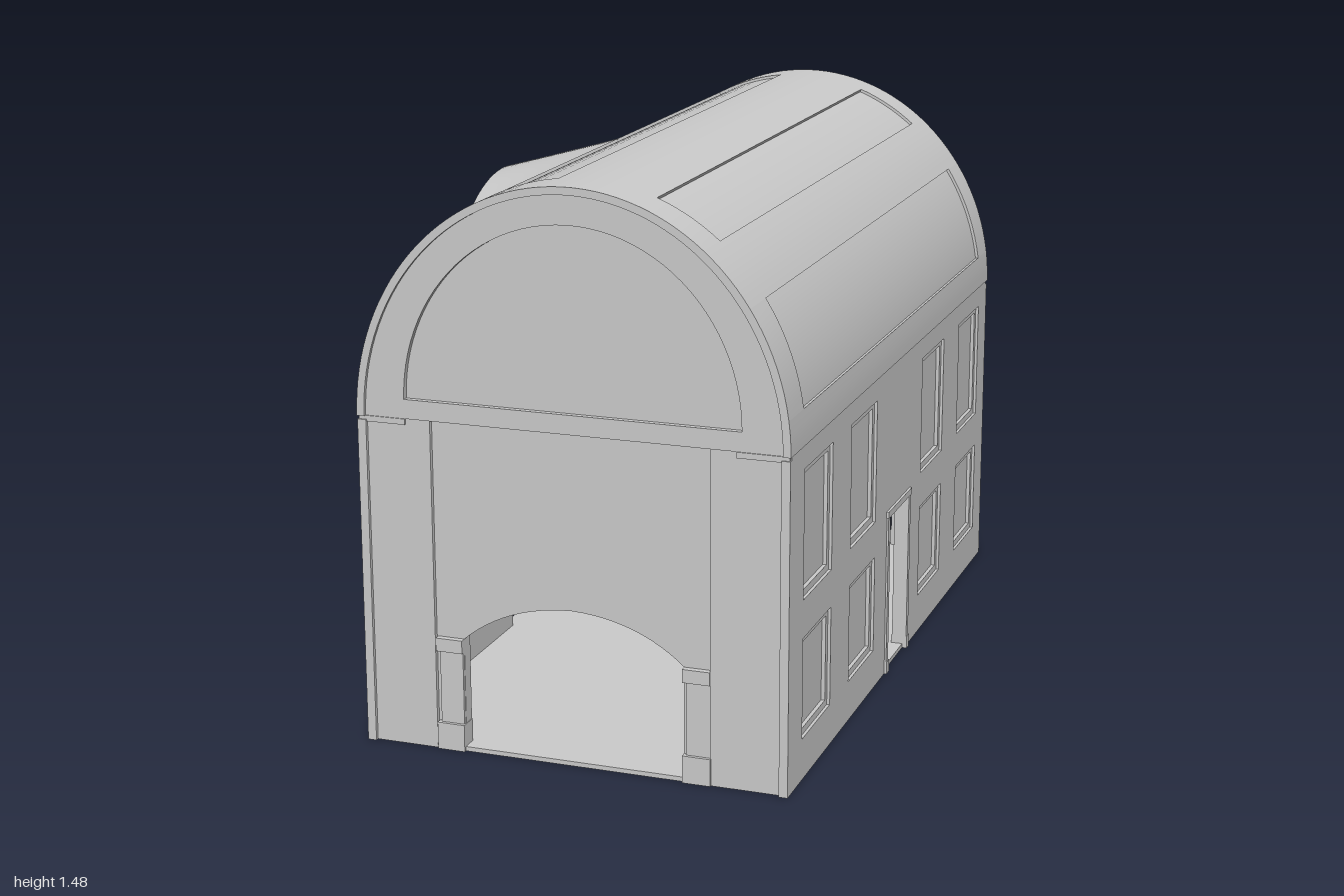
import * as THREE from 'three';
import { toCreasedNormals } from 'three/addons/utils/BufferGeometryUtils.js';

const mat = new THREE.MeshStandardMaterial({ color: 0xcccccc });
const thin = new THREE.MeshStandardMaterial({ color: 0xcccccc, side: THREE.DoubleSide });
const CX = 0.01, SPRING = 0.87, A = 0.568, B = 0.615, ZC = -0.015;
const rad = (d) => d * Math.PI / 180;

// point on the vault section, d = offset from the outer skin
const vaultPoint = (a, d = 0) => new THREE.Vector2(CX + (A + d) * Math.cos(a), SPRING + (B + d) * Math.sin(a));

function ellipseArc(cx, cy, rx, ry, a0 = 0, a1 = Math.PI, n = 48) {
  return Array.from({ length: n + 1 }, (_, i) => {
    const a = a0 + (a1 - a0) * i / n;
    return new THREE.Vector2(cx + rx * Math.cos(a), cy + ry * Math.sin(a));
  });
}
const pts = (list) => list.map(([x, y]) => new THREE.Vector2(x, y));
const rect = (x0, x1, y0, y1) => pts([[x0, y0], [x1, y0], [x1, y1], [x0, y1]]);

function extrude(outline, depth, holes = []) {
  const shape = new THREE.Shape(outline);
  shape.holes = holes.map((h) => new THREE.Path(h));
  const g = new THREE.ExtrudeGeometry(shape, { depth, bevelEnabled: false });
  return toCreasedNormals(g, 0.5);
}

// wall outline with a door notch at the bottom
const notched = (u0, u1, h, d0, d1, dh) =>
  pts([[u0, 0], [d0, 0], [d0, dh], [d1, dh], [d1, 0], [u1, 0], [u1, h], [u0, h]]);

export function createModel() {
  const root = new THREE.Group();
  const add = (parent, name, geo, x = 0, y = 0, z = 0, m = mat) => {
    const mesh = new THREE.Mesh(geo, m);
    mesh.name = name;
    mesh.position.set(x, y, z);
    parent.add(mesh);
    return mesh;
  };
  const box = (parent, name, x0, x1, y0, y1, z0, z1) =>
    add(parent, name, new THREE.BoxGeometry(x1 - x0, y1 - y0, z1 - z0), (x0 + x1) / 2, (y0 + y1) / 2, (z0 + z1) / 2);
  // outline drawn in (z, y), extruded from xMax towards -x
  const sidePart = (name, outline, xMax, depth, holes) => {
    const mesh = add(root, name, extrude(outline, depth, holes), xMax);
    mesh.rotation.y = -Math.PI / 2;
    return mesh;
  };

  box(root, 'floor', -0.555, 0.57, 0, 0.012, -0.985, 0.985);

  // barrel roof: inner shell plus raised strips that leave sunken panels
  const vault = new THREE.Group();
  vault.name = 'barrelRoof';
  root.add(vault);
  const sector = (name, a0, a1, z0, z1, din, dout) => {
    const n = Math.max(3, Math.ceil((a1 - a0) / 3));
    const edge = (d) => Array.from({ length: n + 1 }, (_, i) => vaultPoint(rad(a0 + (a1 - a0) * i / n), d));
    add(vault, name, extrude([...edge(dout), ...edge(din).reverse()], z1 - z0), 0, 0, z0);
  };
  sector('roofShell', 0, 180, -0.985, 0.985, -0.035, -0.008);
  const ends = [[-1, -0.895], [0.88, 1]];
  const bands = [
    [0, 8.4], [8.4, 35.2, ends], [35.2, 52.1], [52.1, 70.5, ends], [70.5, 96.5],
    [96.5, 117.1, ends], [117.1, 144.8], [144.8, 171.6, [ends[0], [-0.52, 0.5], ends[1]]], [171.6, 180],
  ];
  for (const [a0, a1, spans = [[-1, 1]]] of bands)
    for (const [z0, z1] of spans) sector('roofStrip', a0, a1, z0, z1, -0.02, 0);

  // identical end walls, the back one mirrored in z by a half turn about the vault axis
  const opening = [
    new THREE.Vector2(-0.29, 0), new THREE.Vector2(-0.29, 0.3),
    ...new THREE.QuadraticBezierCurve(new THREE.Vector2(-0.29, 0.3), new THREE.Vector2(-0.17, 0.405), new THREE.Vector2(0.005, 0.41)).getPoints(12).slice(1),
    ...new THREE.QuadraticBezierCurve(new THREE.Vector2(0.005, 0.41), new THREE.Vector2(0.18, 0.405), new THREE.Vector2(0.3, 0.3)).getPoints(12).slice(1),
    new THREE.Vector2(0.3, 0),
  ];
  const endWall = (name) => {
    const g = new THREE.Group();
    g.name = name;
    const x0 = -0.555, x1 = 0.573;
    const gable = ellipseArc(CX, SPRING, A - 0.01, B - 0.01);
    add(g, 'wall', extrude([new THREE.Vector2(x0, 0), ...opening, new THREE.Vector2(x1, 0), ...gable], 0.035), 0, 0, 0.94);
    add(g, 'gableFrame', extrude(gable, 0.016, [ellipseArc(CX, 0.92, 0.442, 0.47)]), 0, 0, 0.974);
    for (const [a, b] of [[x0, -0.365], [0.372, x1]]) box(g, 'pilaster', a, b, 0, SPRING, 0.97, 0.987);
    for (const [a, b] of [[x0, -0.43], [0.44, x1]]) box(g, 'cornerCornice', a, b, 0.855, 0.87, 0.97, 0.993);
    for (const [a, b] of [[x0 - 0.003, x0 + 0.02], [x1 - 0.02, x1 + 0.003]]) box(g, 'cornerStrip', a, b, 0, 0.86, 0.965, 0.997);
    // jambs with plinth and capital
    for (const [a, b] of [[-0.362, -0.29], [0.3, 0.372]]) {
      box(g, 'jamb', a + 0.008, b - 0.001, 0, 0.27, 0.94, 0.984);
      box(g, 'jambBase', a, b + 0.002, 0, 0.072, 0.94, 0.993);
      box(g, 'jambCapital', a, b, 0.265, 0.3, 0.94, 0.992);
    }
    root.add(g);
    return g;
  };
  endWall('frontWall');
  const back = endWall('backWall');
  back.rotation.y = Math.PI;
  back.position.x = 2 * CX - 0.002;

  // right-hand wall with eight sunken windows and a doorway
  const windows = [];
  for (const [z0, z1] of [[0.64, 0.88], [0.23, 0.47], [-0.48, -0.24], [-0.9, -0.66]])
    for (const [y0, y1] of [[0.11, 0.375], [0.475, 0.81]]) windows.push([z0, z1, y0, y1]);
  sidePart('windowWall', notched(-0.985, 0.985, 0.88, -0.1, 0.092, 0.45), 0.576, 0.035, windows.map((w) => rect(...w)));
  for (const [z0, z1, y0, y1] of windows) {
    const e = 0.018;
    sidePart('windowFrame', rect(z0, z1, y0, y1), 0.568, 0.02, [rect(z0 + e, z1 - e, y0 + e, y1 - e)]);
    sidePart('windowPane', rect(z0, z1, y0, y1), 0.558, 0.015);
  }

  // left-hand wall, doorway and projecting bay
  sidePart('plainWall', notched(-0.985, 0.985, 0.88, -0.125, 0.125, 0.45), -0.525, 0.034);
  const R = 0.424, H = 0.45;
  const arch = ellipseArc(ZC, SPRING, R, H);
  const bay = [
    ...pts([[ZC - R, 0], [-0.125, 0], [-0.125, 0.45], [0.125, 0.45], [0.125, 0], [ZC + R, 0]]), ...arch,
  ];
  sidePart('bayWall', bay, -0.552, 0.033, [ellipseArc(ZC, SPRING + 0.005, R - 0.035, H - 0.04)]);
  sidePart('bayLunette', ellipseArc(ZC, SPRING, R - 0.01, H - 0.01), -0.54, 0.03);

  // door surrounds on both sides
  const doorTrim = (x0, x1, w0, w1, h) => {
    for (const [a, b] of [[w0 - 0.02, w0], [w1, w1 + 0.02]]) {
      box(root, 'doorJamb', x0, x1, 0, h, a, b);
      box(root, 'doorPlinth', x0 - 0.002, x1 + 0.002, 0, 0.035, a - 0.004, b);
    }
    box(root, 'doorLintel', x0 - 0.002, x1 + 0.002, h, h + 0.018, w0 - 0.025, w1 + 0.025);
  };
  doorTrim(0.54, 0.581, -0.1, 0.092, 0.45);
  doorTrim(-0.589, -0.53, -0.125, 0.125, 0.455);

  // flared dormer roof: from the bay's arch back into the vault
  const N = 48, M = 10, pos = [], idx = [];
  for (let i = 0; i <= N; i++) {
    const t = Math.PI * i / N;
    const from = new THREE.Vector3(-0.585, SPRING + H * Math.sin(t), ZC + R * Math.cos(t));
    const v = vaultPoint(Math.PI - rad(63) * Math.sin(t), -0.003);
    const to = new THREE.Vector3(v.x, v.y, ZC + (R + 0.05 * Math.sin(2 * t > Math.PI ? Math.PI - t : t)) * Math.cos(t));
    for (let j = 0; j <= M; j++) {
      const s = j / M;
      pos.push(from.x + (to.x - from.x) * s, from.y + (to.y - from.y) * s, from.z + (to.z - from.z) * s * s);
      if (i < N && j < M) {
        const a = i * (M + 1) + j, b = a + M + 1;
        idx.push(a, a + 1, b, b, a + 1, b + 1);
      }
    }
  }
  const flare = new THREE.BufferGeometry();
  flare.setAttribute('position', new THREE.Float32BufferAttribute(pos, 3));
  flare.setIndex(idx);
  flare.computeVertexNormals();
  add(root, 'dormerRoof', flare, 0, 0, 0, thin);

  return root;
}
